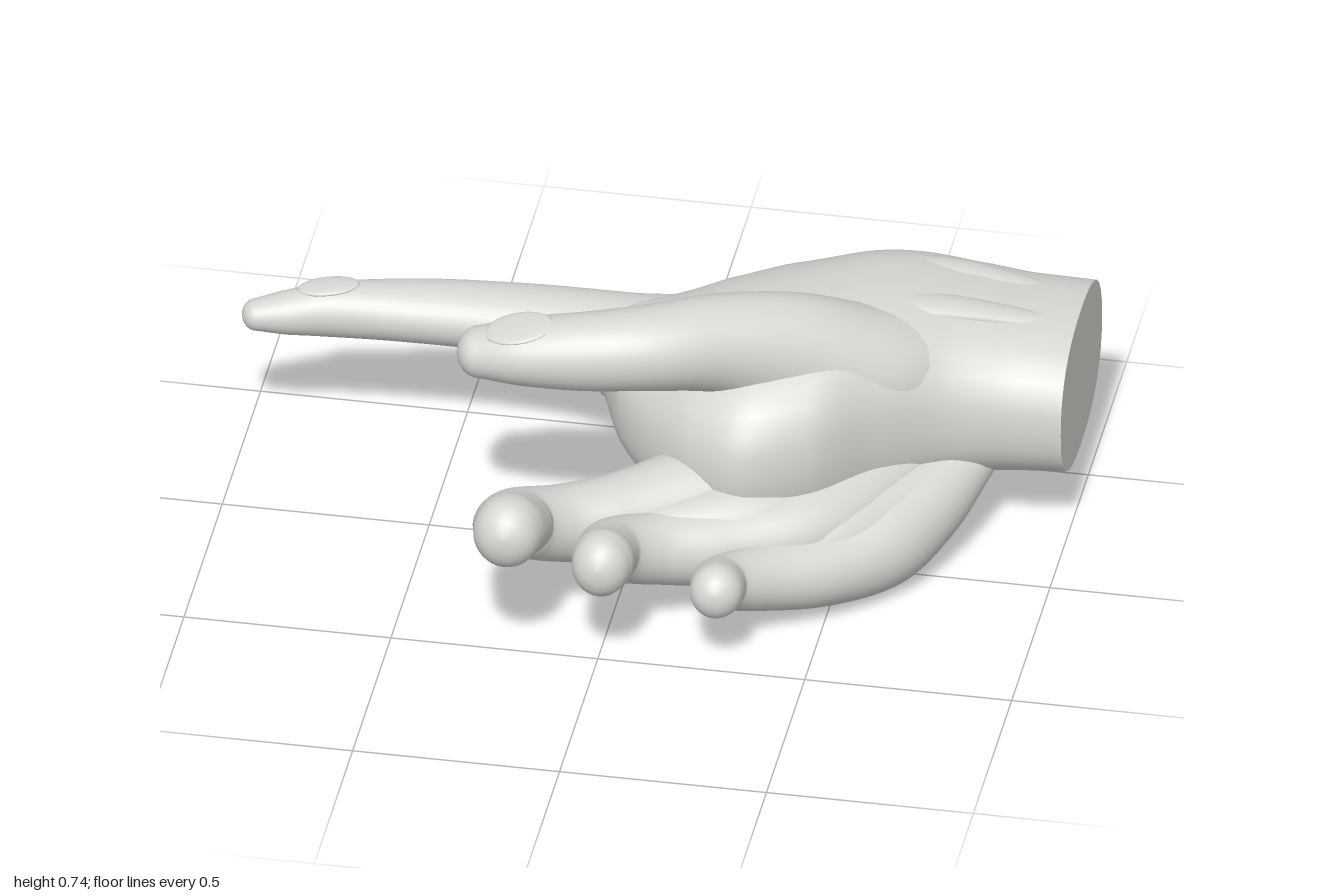
import * as THREE from 'three';

const SIDES = 32;
const PALM_SQUARENESS = 2.4;
const skin = new THREE.MeshStandardMaterial({ color: 0xd8d6d2 });
skin.name = 'pale grey';

// Point on a superellipse; n = 2 is an ellipse, more is boxier.
function oval(angle, n) {
  const c = Math.cos(angle), s = Math.sin(angle);
  return [Math.sign(c) * Math.abs(c) ** (2 / n), Math.sign(s) * Math.abs(s) ** (2 / n)];
}

// Skin a tube through sections [x, y, z, halfHeight, halfWidth].
function loft(name, sections, { n = 2, steps = 8, cap = 0.9, along = null, openStart = false } = {}) {
  const path = new THREE.CatmullRomCurve3(sections.map(s => new THREE.Vector3(s[0], s[1], s[2])));
  const size = new THREE.CatmullRomCurve3(sections.map(s => new THREE.Vector3(s[3], s[4], 0)));
  const rings = [];
  const count = (sections.length - 1) * steps;
  const add = (t, angle, sign) => {
    const tangent = along ? along.clone() : path.getTangent(t);
    const r = size.getPoint(t);
    const centre = path.getPoint(t).addScaledVector(tangent, sign * Math.sin(angle) * cap * Math.min(r.x, r.y));
    const k = Math.max(Math.cos(angle), 0.002);
    rings.push({ centre, tangent, h: r.x * k, w: r.y * k });
  };
  if (!openStart) for (let i = 6; i > 0; i--) add(0, i * Math.PI / 12, -1);
  for (let i = 0; i <= count; i++) add(i / count, 0, 0);
  for (let i = 1; i <= 6; i++) add(1, i * Math.PI / 12, 1);

  const positions = [], index = [];
  const up = new THREE.Vector3(0, 1, 0);
  rings.forEach(({ centre, tangent, h, w }, j) => {
    const side = new THREE.Vector3().crossVectors(tangent, up).normalize();
    const lift = new THREE.Vector3().crossVectors(side, tangent);
    for (let i = 0; i < SIDES; i++) {
      const [u, v] = oval(i / SIDES * Math.PI * 2, n);
      const p = centre.clone().addScaledVector(side, u * w).addScaledVector(lift, v * h);
      positions.push(p.x, p.y, p.z);
      if (j === rings.length - 1) continue;
      const a = j * SIDES + i, b = j * SIDES + (i + 1) % SIDES;
      index.push(a, a + SIDES, b, b, a + SIDES, b + SIDES);
    }
  });
  const geometry = new THREE.BufferGeometry();
  geometry.setAttribute('position', new THREE.Float32BufferAttribute(positions, 3));
  geometry.setIndex(index);
  geometry.computeVertexNormals();
  const mesh = new THREE.Mesh(geometry, skin);
  mesh.name = name;
  return mesh;
}

// Flattened oval nail lying on a finger.
function nail(name, [x, y, z], [length, width], rotation) {
  const mesh = new THREE.Mesh(new THREE.SphereGeometry(1, 24, 12), skin);
  mesh.name = name;
  mesh.scale.set(length / 2, 0.01, width / 2);
  mesh.position.set(x, y, z);
  mesh.rotation.set(...rotation);
  return mesh;
}

export function createModel() {
  const hand = new THREE.Group();
  hand.name = 'hand';

  // Wrist and palm, from the cut end towards the fingers
  hand.add(loft('palm', [
    [1.00, 0.34, -0.41, 0.19, 0.27],
    [0.85, 0.345, -0.395, 0.20, 0.272],
    [0.72, 0.355, -0.37, 0.22, 0.285],
    [0.58, 0.365, -0.312, 0.245, 0.33],
    [0.45, 0.365, -0.235, 0.252, 0.385],
    [0.30, 0.355, -0.175, 0.245, 0.395],
    [0.15, 0.342, -0.165, 0.225, 0.34],
    [0.04, 0.335, -0.19, 0.185, 0.272],
    [-0.05, 0.345, -0.23, 0.145, 0.20],
    [-0.11, 0.365, -0.28, 0.10, 0.12],
  ], { n: PALM_SQUARENESS, cap: 0.35, along: new THREE.Vector3(-1, 0, 0), openStart: true }));

  // Flat cut face of the wrist
  const outline = new THREE.Shape(Array.from({ length: SIDES }, (_, i) => {
    const [u, v] = oval(i / SIDES * Math.PI * 2, PALM_SQUARENESS);
    return new THREE.Vector2(u * 0.27, v * 0.19);
  }));
  const cut = new THREE.Mesh(new THREE.ShapeGeometry(outline), skin);
  cut.name = 'wristCut';
  cut.rotation.y = Math.PI / 2;
  cut.position.set(1, 0.34, -0.41);
  hand.add(cut);

  // Straight pointing finger
  hand.add(loft('pointingFinger', [
    [0.15, 0.36, -0.32, 0.14, 0.15],
    [-0.05, 0.37, -0.325, 0.108, 0.125],
    [-0.20, 0.38, -0.338, 0.091, 0.105],
    [-0.40, 0.383, -0.345, 0.079, 0.095],
    [-0.60, 0.383, -0.335, 0.073, 0.085],
    [-0.80, 0.385, -0.30, 0.066, 0.064],
    [-0.90, 0.382, -0.272, 0.052, 0.054],
    [-0.965, 0.38, -0.255, 0.038, 0.042],
  ]));

  // Raised upper digit, growing out of the top of the palm
  hand.add(loft('thumb', [
    [0.74, 0.40, -0.30, 0.10, 0.10],
    [0.54, 0.465, -0.17, 0.145, 0.15],
    [0.36, 0.55, -0.07, 0.147, 0.13],
    [0.20, 0.613, 0.02, 0.12, 0.115],
    [0.05, 0.638, 0.108, 0.102, 0.105],
    [-0.10, 0.638, 0.152, 0.094, 0.095],
    [-0.25, 0.63, 0.166, 0.08, 0.088],
    [-0.345, 0.62, 0.17, 0.062, 0.068],
  ]));

  // Three curled fingers, each base to tip
  hand.add(loft('middleFinger', [
    [0.42, 0.26, -0.10, 0.13, 0.14],
    [0.20, 0.245, 0.10, 0.125, 0.13],
    [0.00, 0.242, 0.25, 0.108, 0.105],
    [-0.13, 0.265, 0.335, 0.092, 0.092],
    [-0.207, 0.312, 0.42, 0.082, 0.095],
    [-0.205, 0.362, 0.51, 0.074, 0.094],
    [-0.20, 0.395, 0.575, 0.086, 0.086],
    [-0.20, 0.402, 0.60, 0.086, 0.082],
  ]));
  hand.add(loft('ringFinger', [
    [0.58, 0.22, -0.12, 0.10, 0.12],
    [0.43, 0.195, 0.10, 0.108, 0.13],
    [0.24, 0.192, 0.23, 0.102, 0.11],
    [0.09, 0.215, 0.325, 0.088, 0.088],
    [0.02, 0.255, 0.41, 0.078, 0.078],
    [0.015, 0.29, 0.49, 0.072, 0.074],
    [0.02, 0.308, 0.545, 0.08, 0.074],
    [0.02, 0.313, 0.565, 0.078, 0.07],
  ]));
  hand.add(loft('littleFinger', [
    [0.76, 0.215, -0.22, 0.07, 0.08],
    [0.68, 0.155, -0.07, 0.105, 0.10],
    [0.59, 0.12, 0.05, 0.118, 0.12],
    [0.47, 0.12, 0.18, 0.10, 0.11],
    [0.34, 0.15, 0.31, 0.08, 0.083],
    [0.28, 0.185, 0.40, 0.066, 0.068],
    [0.283, 0.215, 0.47, 0.066, 0.065],
    [0.285, 0.224, 0.495, 0.066, 0.063],
  ]));

  // Flesh joining the curled fingers below the palm
  hand.add(loft('innerWeb', [
    [0.55, 0.22, -0.12, 0.10, 0.12],
    [0.33, 0.215, 0.13, 0.11, 0.12],
    [0.14, 0.225, 0.26, 0.085, 0.08],
    [0.04, 0.235, 0.32, 0.06, 0.05],
  ]));
  hand.add(loft('outerWeb', [
    [0.68, 0.19, -0.12, 0.08, 0.10],
    [0.50, 0.16, 0.11, 0.10, 0.10],
    [0.34, 0.165, 0.23, 0.08, 0.07],
    [0.24, 0.18, 0.295, 0.055, 0.05],
  ]));

  // Low tendon ridges over the back of the hand
  [
    [[0.93, 0.508, -0.50], [0.62, 0.565, -0.46], [0.30, 0.545, -0.36]],
    [[0.93, 0.518, -0.36], [0.65, 0.573, -0.29], [0.40, 0.595, -0.20]],
  ].forEach((points, i) => {
    const radii = [0.014, 0.024, 0.016];
    hand.add(loft('tendon' + (i + 1), points.map((p, k) => [...p, radii[k], radii[k] * 2])));
  });

  // Nails
  hand.add(nail('pointingNail', [-0.80, 0.447, -0.305], [0.15, 0.08], [0, 0.2, 0.1]));
  hand.add(nail('thumbNail', [-0.25, 0.702, 0.178], [0.17, 0.11], [0.2, 0.1, 0.2]));

  return hand;
}
